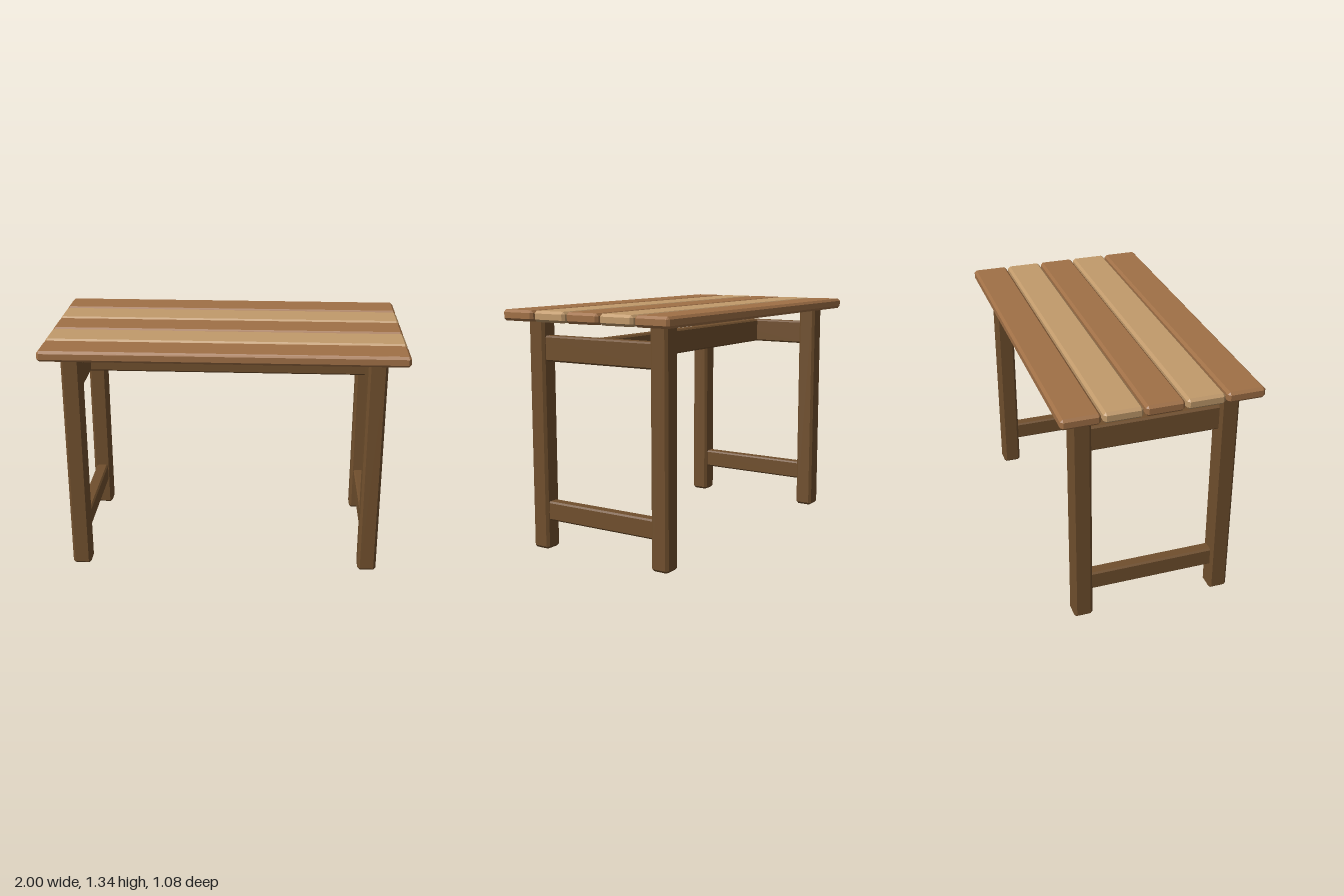
import * as THREE from 'three';
import { ConvexGeometry } from 'three/addons/geometries/ConvexGeometry.js';

const material = (name, color) => {
  const m = new THREE.MeshStandardMaterial({ color });
  m.name = name;
  return m;
};

// Box with every edge cut by a flat chamfer
function chamferBox(w, h, d, c) {
  const [x, y, z] = [w / 2, h / 2, d / 2];
  const points = [];
  for (const sx of [-1, 1]) for (const sy of [-1, 1]) for (const sz of [-1, 1]) {
    points.push(
      new THREE.Vector3(sx * x, sy * (y - c), sz * (z - c)),
      new THREE.Vector3(sx * (x - c), sy * y, sz * (z - c)),
      new THREE.Vector3(sx * (x - c), sy * (y - c), sz * z)
    );
  }
  return new ConvexGeometry(points);
}

export function createModel() {
  const table = new THREE.Group();
  table.name = 'table';
  const darkPlank = material('reddish wood', 0xa07046);
  const lightPlank = material('pale wood', 0xc19a6b);
  const frameWood = material('dark brown wood', 0x704f2d);

  const add = (name, geometry, mat, x, y, z) => {
    const mesh = new THREE.Mesh(geometry, mat);
    mesh.name = name;
    mesh.position.set(x, y, z);
    table.add(mesh);
  };

  // Five table-top planks in alternating colours
  const plank = chamferBox(2, 0.06, 0.207, 0.014);
  for (let i = -2; i <= 2; i++) {
    add('plank', plank, i % 2 ? lightPlank : darkPlank, 0, 1.313, i * 0.218);
  }

  // Legs run slightly into the planks; rails run slightly into the legs
  const leg = chamferBox(0.106, 1.3, 0.106, 0.014);
  const apron = chamferBox(0.07, 0.14, 0.74, 0.009);
  const stretcher = chamferBox(0.07, 0.108, 0.74, 0.009);
  for (const side of [-1, 1]) {
    const end = side > 0 ? 'left' : 'right';
    for (const front of [-1, 1]) {
      add(`${end}${front > 0 ? 'Front' : 'Back'}Leg`, leg, frameWood, side * 0.837, 0.65, front * 0.402);
    }
    add(`${end}Apron`, apron, frameWood, side * 0.837, 1.13, 0);
    add(`${end}Stretcher`, stretcher, frameWood, side * 0.837, 0.22, 0);
  }

  // Lengthwise beam joining the two aprons
  add('centreBeam', chamferBox(1.64, 0.14, 0.07, 0.009), frameWood, 0, 1.13, 0);

  return table;
}
